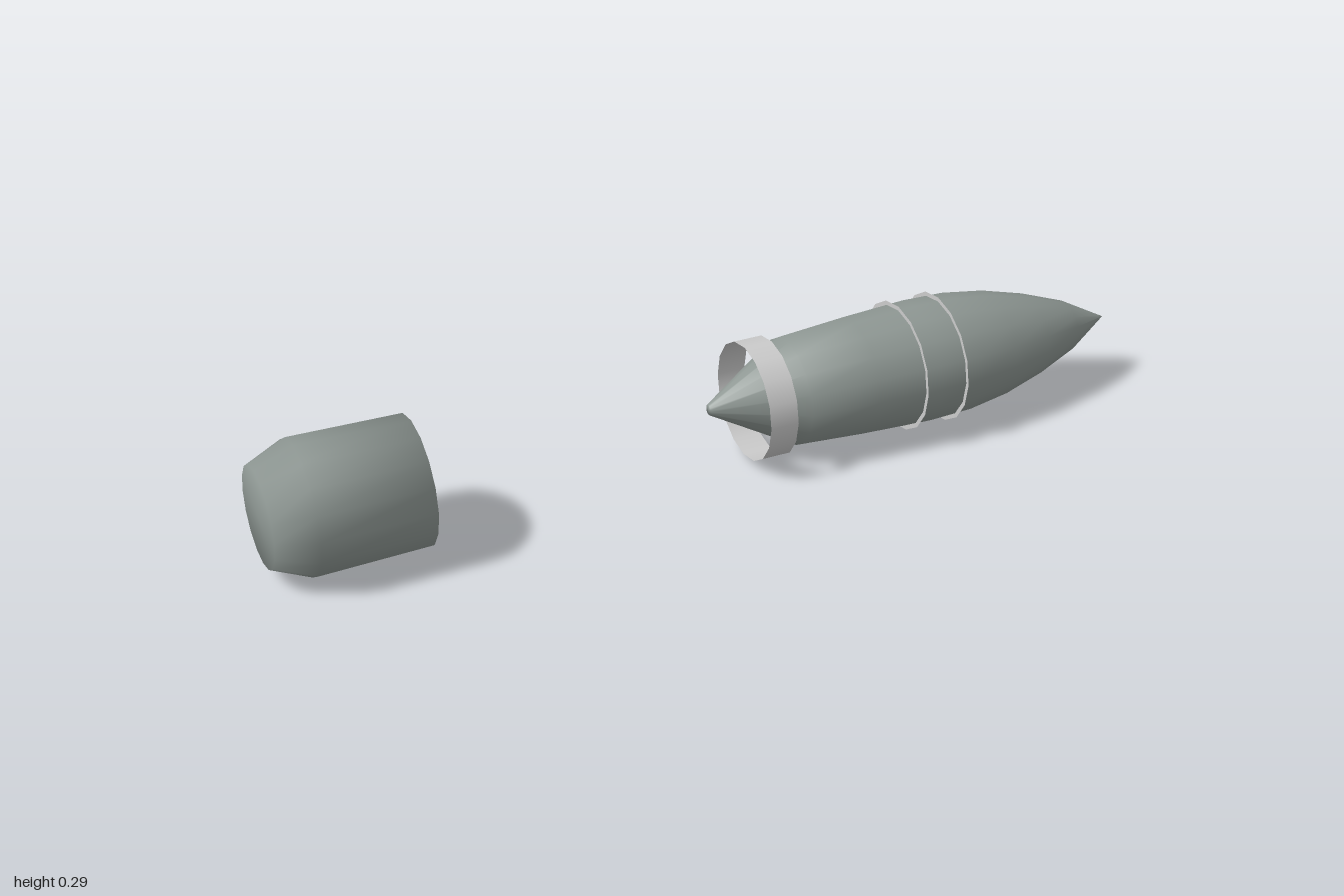
import * as THREE from 'three';

const SIDES = 16;
const AXIS_Y = 0.147;

export function createModel() {
  const model = new THREE.Group();
  const steel = new THREE.MeshStandardMaterial({ color: 0x8e9793 });
  const grey = new THREE.MeshStandardMaterial({ color: 0xcccccc, side: THREE.DoubleSide });

  const add = (name, geometry, material) => {
    const mesh = new THREE.Mesh(geometry, material);
    mesh.name = name;
    mesh.position.y += AXIS_Y;
    model.add(mesh);
    return mesh;
  };

  // Turned part lying along x; the profile is [x, radius] from back to tip
  const turned = (profile) =>
    new THREE.LatheGeometry(profile.map(([x, r]) => new THREE.Vector2(r, x)), SIDES)
      .rotateZ(-Math.PI / 2);

  // Pointed projectile with a conical tail
  add('projectile', turned([
    [0, 0], [0, 0.012], [0.19, 0.121], [0.35, 0.132], [0.5, 0.139], [0.6, 0.136],
    [0.7, 0.121], [0.8, 0.094], [0.9, 0.057], [1, 0],
  ]), steel);

  // Separate closed casing with a tapered back
  add('casing', turned([
    [-1, 0], [-1, 0.11], [-0.915, 0.147], [-0.667, 0.142], [-0.667, 0],
  ]), steel);

  // Open band around the tail
  add('tailBand', turned([[0.085, 0.133], [0.15, 0.133]]), grey);

  // Two thin raised collars around the middle
  for (const x of [0.46, 0.56]) {
    const collar = new THREE.RingGeometry(0.132, 0.147, SIDES, 1).rotateY(Math.PI / 2);
    add('collar', collar, grey).position.x = x;
  }

  return model;
}
